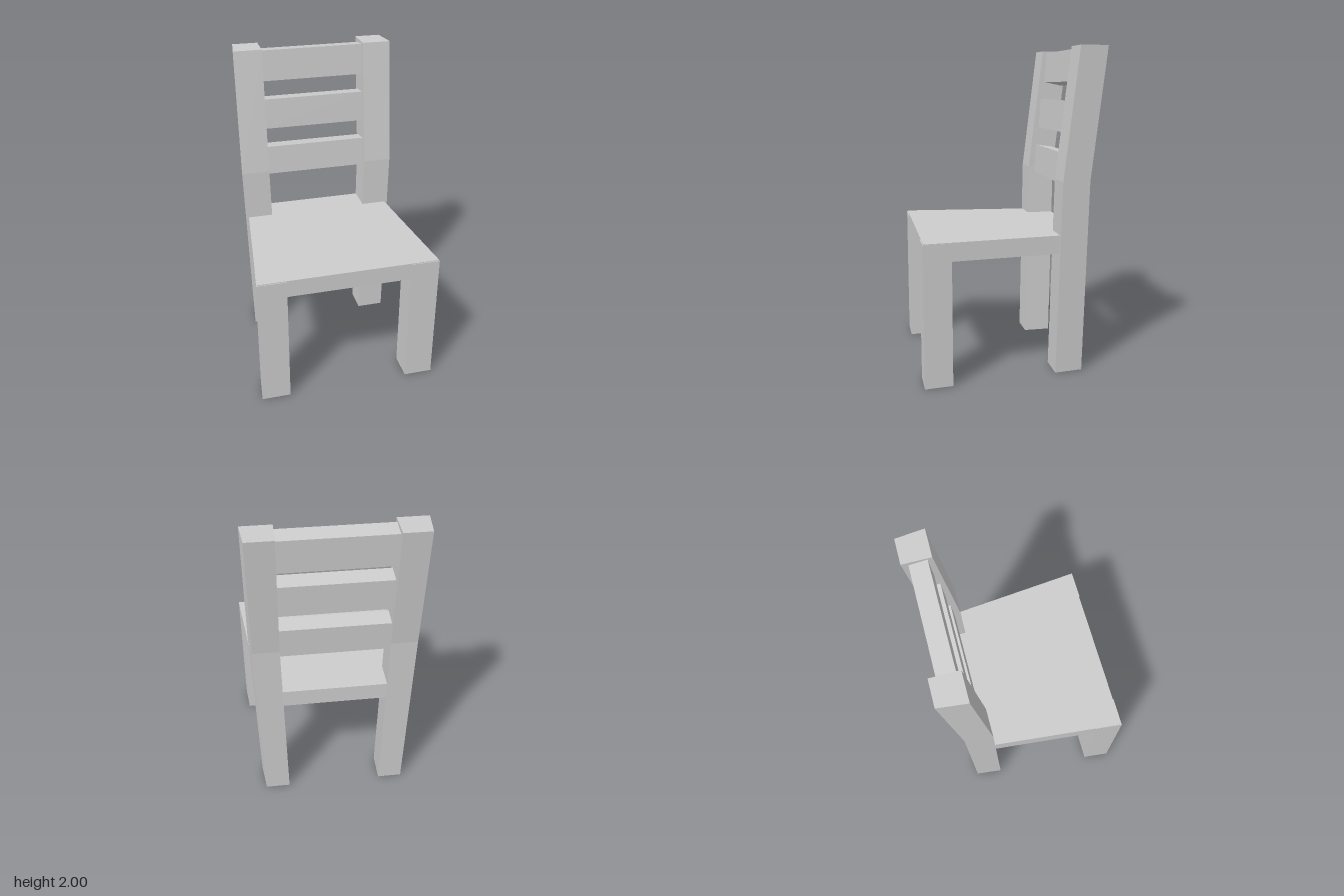
import * as THREE from 'three';

// Four-sided solid lofted through rings of [x, y, z] corners, listed
// front right, front left, back left, back right from the lowest ring up.
function loft(rings) {
  const pos = [];
  const quad = (a, b, c, d) => pos.push(...a, ...b, ...c, ...a, ...c, ...d);
  for (let r = 0; r < rings.length - 1; r++) {
    const lo = rings[r], hi = rings[r + 1];
    for (let i = 0; i < 4; i++) {
      const j = (i + 1) % 4;
      quad(lo[i], lo[j], hi[j], hi[i]);
    }
  }
  quad(...rings[0].slice().reverse());
  quad(...rings[rings.length - 1]);
  const geo = new THREE.BufferGeometry();
  geo.setAttribute('position', new THREE.Float32BufferAttribute(pos, 3));
  geo.computeVertexNormals();
  return geo;
}

// Leg ring for one side: a level section with a tapered outer face.
function legRing(side, [y, zFront, zBack, inner, outFront, outBack]) {
  const ring = [[inner, y, zFront], [outFront, y, zFront], [outBack, y, zBack], [inner, y, zBack]]
    .map(([x, yy, z]) => [x * side, yy, z]);
  return side > 0 ? ring : ring.reverse();
}

export function createModel() {
  const model = new THREE.Group();
  model.name = 'chair';
  const grey = new THREE.MeshStandardMaterial({ color: 0xcccccc });
  grey.name = 'plain grey';

  const add = (name, geometry) => {
    const mesh = new THREE.Mesh(geometry, grey);
    mesh.name = name;
    model.add(mesh);
    return mesh;
  };

  // Legs: [y, zFront, zBack, inner x, outer x at front, outer x at back]
  const frontLeg = [
    [0, 0.556, 0.385, 0.39, 0.573, 0.556],
    [0.868, 0.556, 0.385, 0.39, 0.573, 0.556],
  ];
  const backPost = [
    [0, -0.265, -0.44, 0.31, 0.487, 0.467],
    [1.2, -0.29, -0.465, 0.332, 0.515, 0.495],
    [2, -0.385, -0.56, 0.332, 0.515, 0.495],
  ];
  for (const [side, label] of [[1, 'left'], [-1, 'right']]) {
    add(label + 'FrontLeg', loft(frontLeg.map(s => legRing(side, s))));
    add(label + 'BackPost', loft(backPost.map(s => legRing(side, s))));
  }

  // Seat: tapered board with a tongue reaching back between the posts
  const half = [[0.571, -0.551], [0.488, 0.285], [0.335, 0.285], [0.335, 0.455]];
  const outline = [...half, ...half.map(([x, y]) => [-x, y]).reverse()];
  const seatShape = new THREE.Shape(outline.map(([x, y]) => new THREE.Vector2(x, y)));
  const seatGeo = new THREE.ExtrudeGeometry(seatShape, { depth: 0.113, bevelEnabled: false });
  seatGeo.rotateX(-Math.PI / 2);
  add('seat', seatGeo).position.y = 0.76;

  // Back slats: [top y, bottom y, front z at the top]
  const slats = [[1.355, 1.165, -0.343], [1.675, 1.478, -0.374], [1.987, 1.79, -0.412]];
  slats.forEach(([top, bottom, z], i) => {
    const w = 0.34, t = 0.108, lean = 0.014;
    const ring = (yFront, yBack, zf) => [[-w, yFront, zf], [w, yFront, zf], [w, yBack, zf - t], [-w, yBack, zf - t]];
    add('backSlat' + (i + 1), loft([
      ring(bottom, bottom - 0.022, z + lean),
      ring(top, top - 0.014, z),
    ]));
  });

  return model;
}
